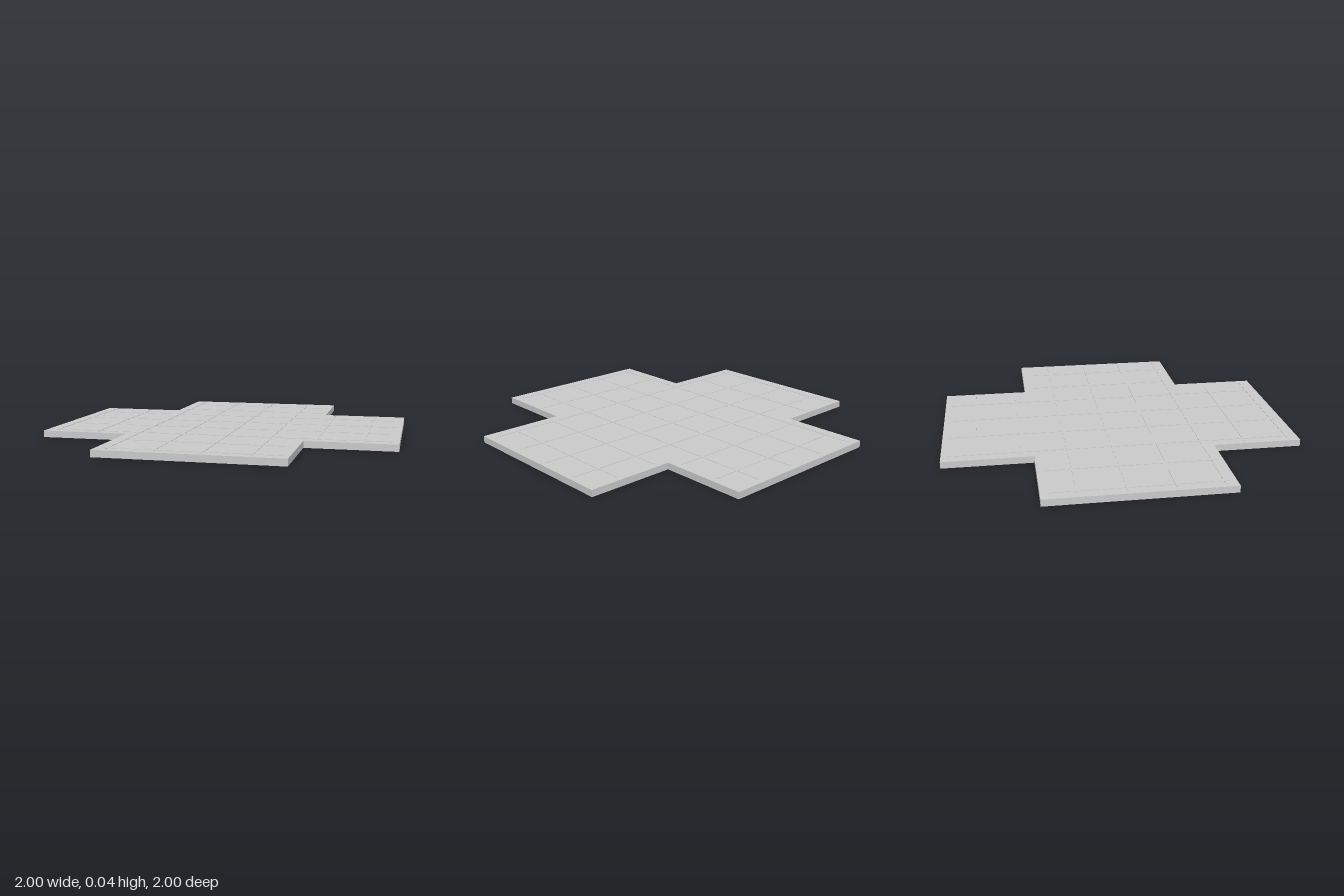
import * as THREE from 'three';

export function createModel() {
  const group = new THREE.Group();
  const mat = new THREE.MeshStandardMaterial({ color: 0xcccccc, flatShading: true });
  const thickness = 0.038, rise = 0.002, seamWidth = 0.008;

  // Cross-shaped floor slab
  const a = 0.5, b = 1;
  const outline = new THREE.Shape([
    [-a, -b], [a, -b], [a, -a], [b, -a], [b, a], [a, a],
    [a, b], [-a, b], [-a, a], [-b, a], [-b, -a], [-a, -a],
  ].map(([x, y]) => new THREE.Vector2(x, y)));
  const slabGeo = new THREE.ExtrudeGeometry(outline, { depth: thickness, bevelEnabled: false });
  slabGeo.rotateX(-Math.PI / 2);
  const slab = new THREE.Mesh(slabGeo, mat);
  slab.name = 'floorSlab';
  group.add(slab);

  // Thin raised tile seams in both directions, shorter across the arms
  const seams = new THREE.Group();
  seams.name = 'tileSeams';
  for (let i = 0; i < 8; i++) {
    const p = -0.935 + i * 0.25;
    const length = Math.abs(p) < a ? 1.93 : 0.93;
    const y = thickness + rise / 2 - 0.001;
    const alongZ = new THREE.Mesh(new THREE.BoxGeometry(seamWidth, rise + 0.002, length), mat);
    alongZ.position.set(p, y, 0);
    alongZ.name = 'lengthwiseSeam';
    const alongX = new THREE.Mesh(new THREE.BoxGeometry(length, rise + 0.002, seamWidth), mat);
    alongX.position.set(0, y, -p);
    alongX.name = 'crosswiseSeam';
    seams.add(alongZ, alongX);
  }
  group.add(seams);
  return group;
}
